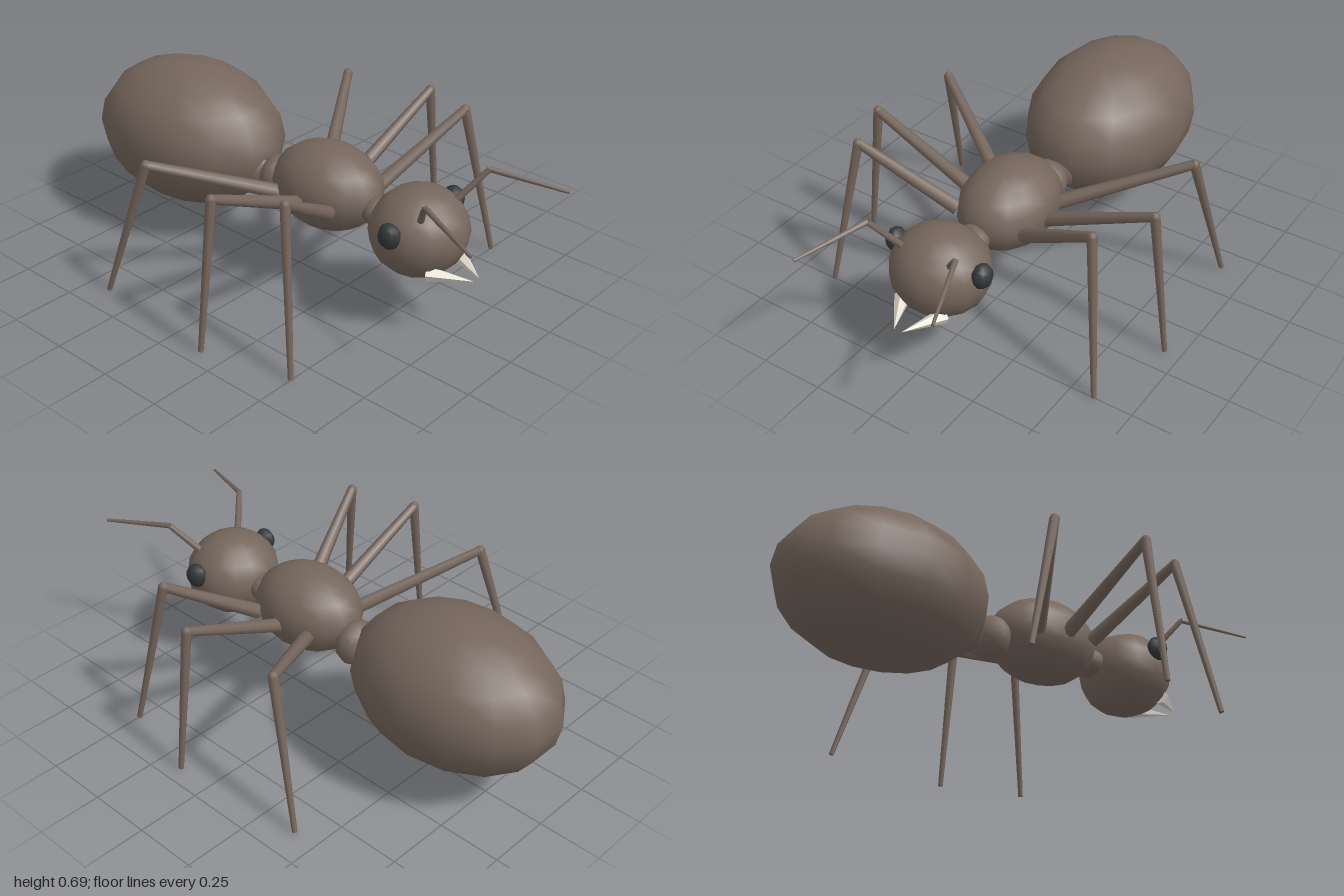
import * as THREE from 'three';

const brown = new THREE.MeshStandardMaterial({ color: 0x75665c });
const dark = new THREE.MeshStandardMaterial({ color: 0x34383a });
const ivory = new THREE.MeshStandardMaterial({ color: 0xe0dccf, flatShading: true });

// Stretched low-poly sphere
function ellipsoid(name, center, radii, material = brown, w = 14, h = 10) {
  const mesh = new THREE.Mesh(new THREE.SphereGeometry(1, w, h), material);
  mesh.name = name;
  mesh.scale.set(...radii);
  mesh.position.set(...center);
  return mesh;
}

// Tapered rod from point a (radius ra) to point b (radius rb)
function rod(name, a, b, ra, rb, material = brown, sides = 8) {
  const from = new THREE.Vector3(...a), to = new THREE.Vector3(...b);
  const dir = to.clone().sub(from);
  const mesh = new THREE.Mesh(new THREE.CylinderGeometry(rb, ra, dir.length(), sides), material);
  mesh.name = name;
  mesh.position.copy(from).add(to).multiplyScalar(0.5);
  mesh.quaternion.setFromUnitVectors(new THREE.Vector3(0, 1, 0), dir.normalize());
  return mesh;
}

// Hip, knee and foot of each left leg
const legs = {
  front: [[0.15, 0.39, 0.275], [0.505, 0.615, 0.395], [0.595, 0.004, 0.5]],
  middle: [[0.14, 0.38, 0.15], [0.61, 0.588, 0.15], [0.685, 0.004, 0.15]],
  rear: [[0.13, 0.38, 0.03], [0.56, 0.565, -0.235], [0.635, 0.004, -0.4]],
};

export function createModel() {
  const ant = new THREE.Group();
  ant.name = 'ant';

  // Body segments along z
  ant.add(
    ellipsoid('abdomen', [0, 0.402, -0.585], [0.315, 0.288, 0.426]),
    ellipsoid('rearWaist', [0, 0.345, -0.22], [0.08, 0.08, 0.07], brown, 10, 8),
    ellipsoid('frontWaist', [0, 0.35, -0.1], [0.09, 0.09, 0.073], brown, 10, 8),
    ellipsoid('thorax', [0, 0.404, 0.147], [0.18, 0.166, 0.233]),
    ellipsoid('neck', [0, 0.38, 0.39], [0.068, 0.055, 0.065], brown, 10, 8),
    ellipsoid('head', [0, 0.377, 0.578], [0.19, 0.168, 0.182]),
  );

  for (const [s, side] of [[1, 'left'], [-1, 'right']]) {
    const m = ([x, y, z]) => [s * x, y, z];

    // Eyes and mandibles
    ant.add(
      ellipsoid(side + 'Eye', m([0.187, 0.432, 0.588]), [0.036, 0.049, 0.045], dark, 8, 8),
      rod(side + 'Mandible', m([0.092, 0.28, 0.685]), m([0.015, 0.272, 0.835]), 0.032, 0, ivory, 5),
    );

    // Antennae
    const elbow = m([0.187, 0.6, 0.733]);
    const antenna = new THREE.Group();
    antenna.name = side + 'Antenna';
    antenna.add(
      rod('antennaBase', m([0.1, 0.48, 0.655]), elbow, 0.014, 0.011, brown, 6),
      rod('antennaTip', elbow, m([0.29, 0.562, 0.998]), 0.011, 0.006, brown, 6),
    );
    ant.add(antenna);

    // Legs
    for (const [place, [hip, knee, foot]] of Object.entries(legs)) {
      const leg = new THREE.Group();
      leg.name = side + place[0].toUpperCase() + place.slice(1) + 'Leg';
      leg.add(
        rod('upperLeg', m(hip), m(knee), 0.029, 0.018),
        rod('lowerLeg', m(knee), m(foot), 0.019, 0.01),
        ellipsoid('knee', m(knee), [0.019, 0.019, 0.019], brown, 8, 6),
      );
      ant.add(leg);
    }
  }
  return ant;
}
